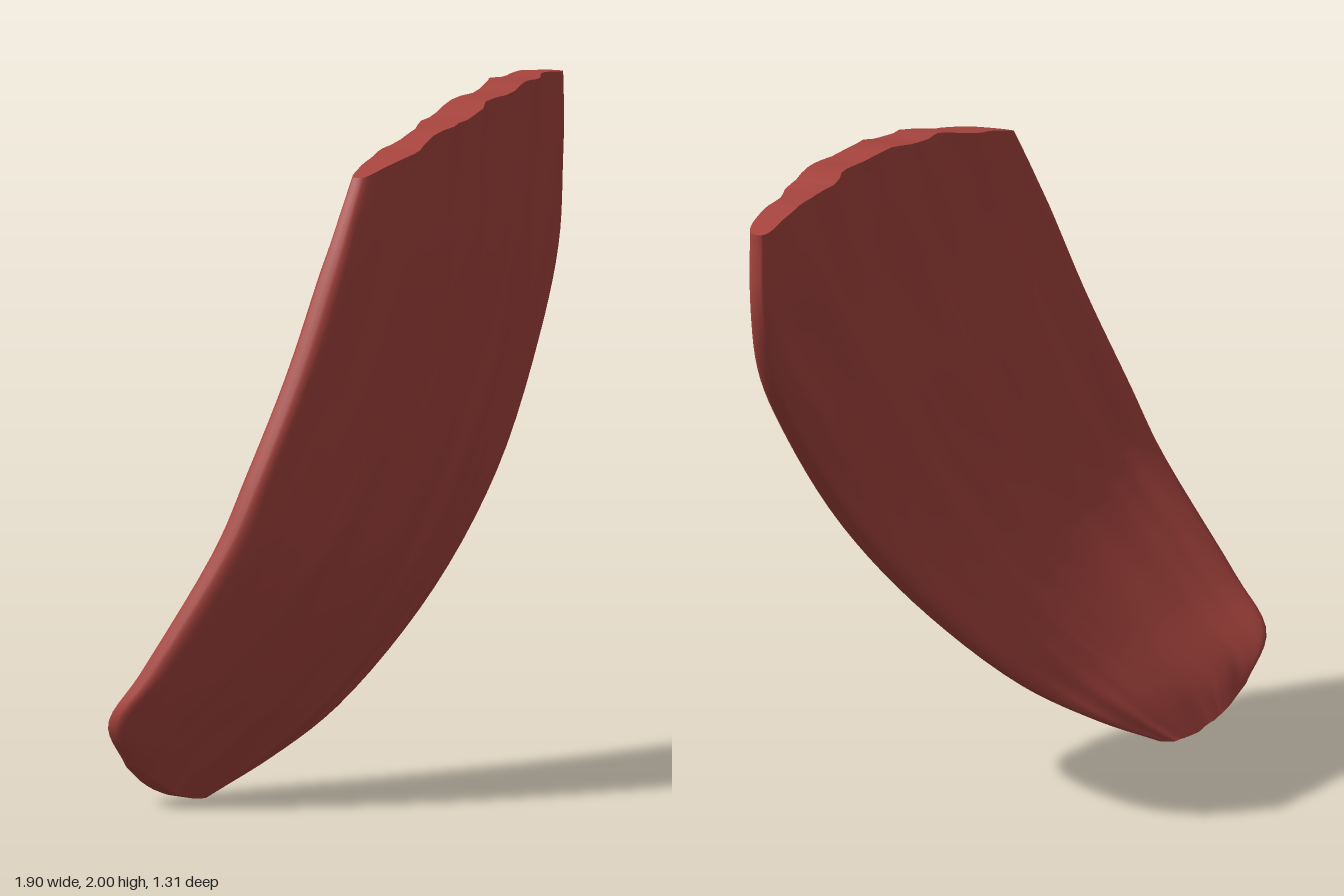
import * as THREE from 'three';

const V = (x, y, z) => new THREE.Vector3(x, y, z);

// Left and right borders of the sheet, from the rounded tip to the broad top
const leftEdge = new THREE.CatmullRomCurve3([
  V(-0.87, 0.13, 0.41), V(-0.945, 0.26, 0.46), V(-0.87, 0.42, 0.54), V(-0.66, 0.8, 0.63), V(-0.57, 1.0, 0.64),
  V(-0.43, 1.3, 0.62), V(-0.3, 1.6, 0.575), V(-0.235, 1.74, 0.54), V(-0.175, 1.86, 0.5)]);
const rightEdge = new THREE.CatmullRomCurve3([
  V(-0.56, 0.005, 0.27), V(-0.37, 0.09, 0.235), V(-0.13, 0.23, 0.19), V(0.2, 0.52, 0.075), V(0.5, 0.86, -0.11),
  V(0.755, 1.25, -0.37), V(0.88, 1.5, -0.53), V(0.93, 1.72, -0.615), V(0.935, 1.955, -0.63)]);
// Per section: forward bulge, vertical bow, half thickness
const form = new THREE.CatmullRomCurve3([
  V(0.01, -0.045, 0.04), V(0.04, -0.03, 0.06), V(0.06, 0, 0.072), V(0.08, 0, 0.08), V(0.08, 0, 0.082),
  V(0.08, 0, 0.08), V(0.08, 0.01, 0.075), V(0.078, 0.045, 0.068), V(0.075, 0.085, 0.058)]);

const ROWS = 44, N = 96;
const signedPow = (v, p) => Math.sign(v) * Math.pow(Math.abs(v), p);

// Long shallow fibre grooves that drift and break up across the sheet
function fibres(v, u, side) {
  const w = v + 0.06 * Math.sin(u * 5 + v * 4 + side);
  const fade = 0.3 + 0.7 * Math.min(1, u * 1.4);
  const patch = 0.6 + 0.4 * Math.sin(u * 9 + v * 13 + side);
  return fade * (0.008 * Math.sin(w * 23 + side * 2 + u * 3)
    + 0.008 * patch * Math.sin(w * 41 - u * 6 + side)
    + 0.004 * patch * Math.sin(w * 79 + u * 8));
}

function ring(u) {
  const L = leftEdge.getPoint(u), R = rightEdge.getPoint(u), f = form.getPoint(u);
  const d = R.clone().sub(L);
  const n = V(-d.z, 0, d.x).normalize();
  const points = [];
  for (let i = 0; i < N; i++) {
    const a = (i / N) * Math.PI * 2, c = Math.cos(a), s = Math.sin(a);
    const v = 0.5 + 0.5 * signedPow(c, 0.85);
    const arch = 4 * v * (1 - v);
    const skewed = arch * (1 + 0.4 * (1 - 2 * v)); // bends more towards the left
    const p = L.clone().addScaledVector(d, v);
    const ridge = fibres(v, u, s > 0 ? 1 : 2.2) * Math.min(1, Math.abs(s) * 1.5);
    p.addScaledVector(n, f.x * skewed + f.z * signedPow(s, 0.55) + ridge);
    p.y += f.y * arch + (u > 0.9 ? (u - 0.9) * 0.06 * Math.sin(v * 31) * arch : 0);
    points.push(p);
  }
  return points;
}

function meshFrom(name, points, index, material) {
  const g = new THREE.BufferGeometry().setFromPoints(points);
  g.setIndex(index);
  g.computeVertexNormals();
  const m = new THREE.Mesh(g, material);
  m.name = name;
  return m;
}

// Closes one end of the sheet with a strip between its front and back
function endCap(name, points, up, material) {
  const index = [];
  const add = (a, b, c) => (up ? index.push(a, b, c) : index.push(a, c, b));
  for (let i = 0; i < N / 2; i++) {
    const j = (N - i) % N, k = N - i - 1;
    if (i > 0) add(i, j, k);
    if (i + 1 !== k) add(i, k, i + 1);
  }
  return meshFrom(name, points, index, material);
}

export function createModel() {
  const group = new THREE.Group();
  group.name = 'muscle';
  const red = new THREE.MeshStandardMaterial({ color: 0xa9453f });
  red.name = 'muscleRed';

  // Curved sheet lofted through the sections
  const rings = [];
  for (let r = 0; r <= ROWS; r++) rings.push(ring(r / ROWS));
  const index = [];
  for (let r = 0; r < ROWS; r++) {
    for (let i = 0; i < N; i++) {
      const a = r * N + i, b = r * N + (i + 1) % N;
      index.push(a, a + N, b + N, a, b + N, b);
    }
  }
  group.add(meshFrom('muscleSheet', rings.flat(), index, red));

  // Cut top edge and rounded lower tip
  group.add(endCap('topEdge', rings[ROWS], true, red));
  group.add(endCap('lowerTip', rings[0], false, red));
  return group;
}
